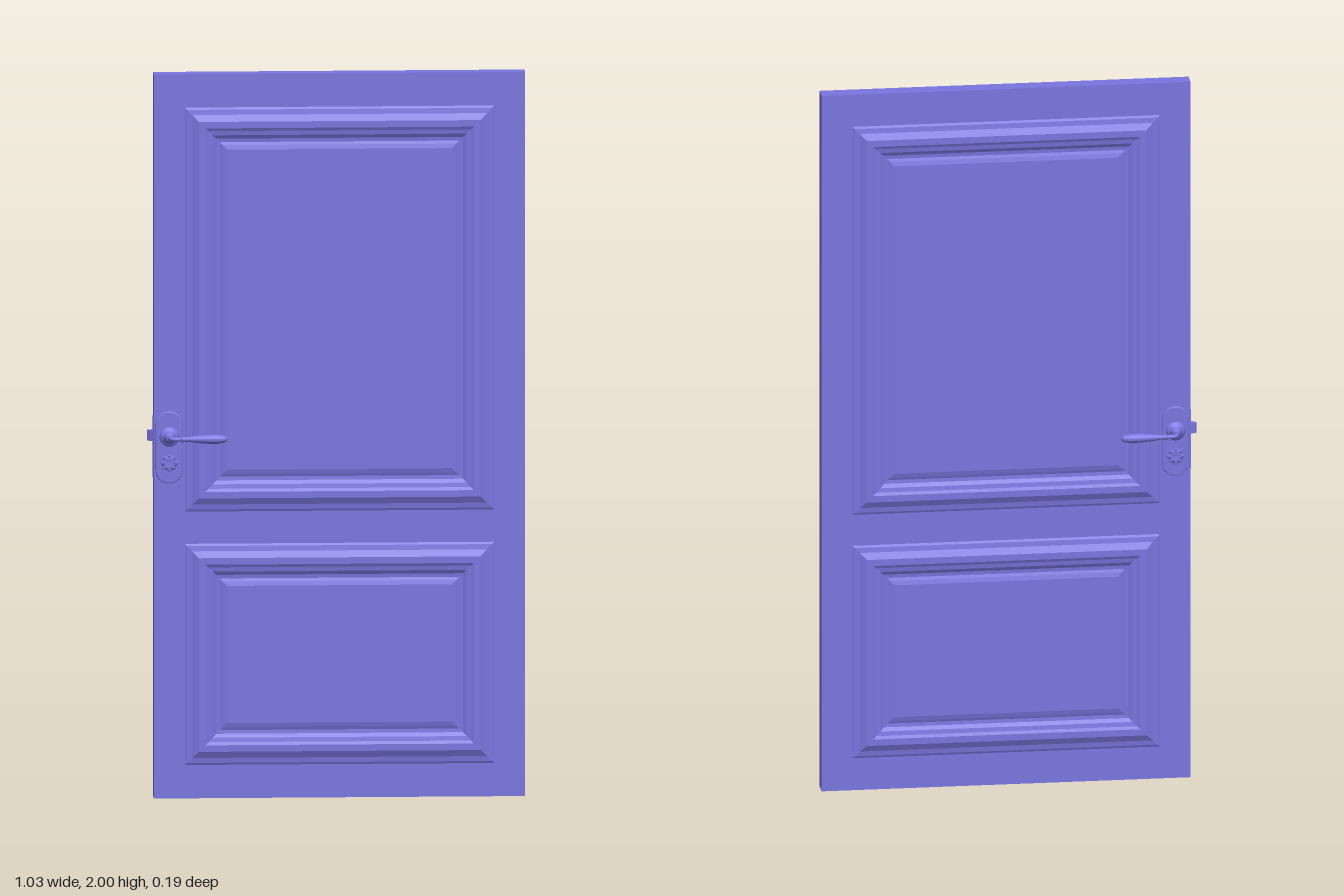
import * as THREE from 'three';

const material = new THREE.MeshStandardMaterial({ color: 0x7a76e0 });
const flat = new THREE.MeshStandardMaterial({ color: 0x7a76e0, flatShading: true });

function add(parent, name, geometry, x = 0, y = 0, z = 0, mat = material) {
  const mesh = new THREE.Mesh(geometry, mat);
  mesh.name = name;
  mesh.position.set(x, y, z);
  parent.add(mesh);
  return mesh;
}

const lathe = (points, segments = 24) =>
  new THREE.LatheGeometry(points.map(([r, h]) => new THREE.Vector2(r, h)), segments);

// Moulding section: [inset from the outer edge, height above the door's mid plane]
const MOULDING = [
  [0, 0.022], [0.008, 0.026], [0.022, 0.028], [0.04, 0.037], [0.058, 0.037],
  [0.066, 0.033], [0.078, 0.031], [0.088, 0.025], [0.098, 0.024], [0.106, 0.027], [0.118, 0.030],
];

// Mitred rectangular moulding closed by a flat field in the middle
function panelGeometry(w, h) {
  const corners = [[-1, -1], [1, -1], [1, 1], [-1, 1]];
  const positions = [], index = [];
  MOULDING.forEach(([d, z], ring) => {
    for (const [sx, sy] of corners) positions.push(sx * (w / 2 - d), sy * (h / 2 - d), z);
    if (ring === 0) return;
    for (let i = 0; i < 4; i++) {
      const j = (i + 1) % 4, o = (ring - 1) * 4;
      index.push(o + i, o + j, o + 4 + j, o + i, o + 4 + j, o + 4 + i);
    }
  });
  const c = (MOULDING.length - 1) * 4;
  index.push(c, c + 1, c + 2, c, c + 2, c + 3);
  const geometry = new THREE.BufferGeometry();
  geometry.setAttribute('position', new THREE.Float32BufferAttribute(positions, 3));
  geometry.setIndex(index);
  const result = geometry.toNonIndexed();
  result.computeVertexNormals();
  return result;
}

// Rounded plate that passes through the slab and shows on both faces
function platePart() {
  const r = 0.037, half = 0.063;
  const shape = new THREE.Shape();
  shape.absarc(0, half, r, 0, Math.PI);
  shape.absarc(0, -half, r, Math.PI, Math.PI * 2);
  shape.closePath();
  return new THREE.ExtrudeGeometry(shape, {
    depth: 0.052, bevelEnabled: true, bevelThickness: 0.003, bevelSize: 0.003,
    bevelOffset: -0.003, bevelSegments: 2, curveSegments: 16,
  }).translate(0, 0, -0.026);
}

// Lever on one side; side = 1 is the front, -1 the back
function lever(side) {
  const g = new THREE.Group();
  g.name = side > 0 ? 'frontHandle' : 'backHandle';
  g.position.set(-0.458, 1, 0);
  if (side < 0) g.rotation.x = Math.PI;

  const boss = lathe([[0.027, 0.02], [0.027, 0.031], [0.022, 0.035], [0.014, 0.038],
    [0.012, 0.049], [0.009, 0.053], [0, 0.053]]);
  add(g, 'handleRosette', boss.rotateX(Math.PI / 2));

  const path = new THREE.CurvePath();
  path.add(new THREE.LineCurve3(new THREE.Vector3(0, 0, 0.045), new THREE.Vector3(0, 0, 0.062)));
  path.add(new THREE.QuadraticBezierCurve3(new THREE.Vector3(0, 0, 0.062),
    new THREE.Vector3(0, 0, 0.08), new THREE.Vector3(0.018, 0, 0.08)));
  path.add(new THREE.LineCurve3(new THREE.Vector3(0.018, 0, 0.08), new THREE.Vector3(0.04, 0, 0.08)));
  add(g, 'handleNeck', new THREE.TubeGeometry(path, 24, 0.006, 12));

  const grip = lathe([[0, 0.028], [0.008, 0.029], [0.009, 0.033], [0.006, 0.038], [0.007, 0.05],
    [0.010, 0.075], [0.0125, 0.105], [0.0125, 0.13], [0.010, 0.147], [0.006, 0.155], [0, 0.157]]);
  add(g, 'handleGrip', grip.rotateZ(-Math.PI / 2).scale(1, -1, 1).rotateX(0), 0, 0, 0.08).geometry =
    lathe([[0, 0.028], [0.008, 0.029], [0.009, 0.033], [0.006, 0.038], [0.007, 0.05],
      [0.010, 0.075], [0.0125, 0.105], [0.0125, 0.13], [0.010, 0.147], [0.006, 0.155], [0, 0.157]])
      .rotateZ(-Math.PI / 2);

  // Keyhole boss with small lobes around its rim
  const y = -0.072 * side;
  add(g, 'keyholeBoss', lathe([[0.021, 0.02], [0.021, 0.031], [0.014, 0.035], [0.010, 0.033], [0, 0.033]])
    .rotateX(Math.PI / 2), 0, y, 0);
  for (let i = 0; i < 8; i++) {
    const a = (i * Math.PI) / 4;
    add(g, 'bossLobe', new THREE.SphereGeometry(0.005, 10, 8), 0.019 * Math.cos(a), y + 0.019 * Math.sin(a), 0.031);
  }
  return g;
}

export function createModel() {
  const door = new THREE.Group();
  door.name = 'door';

  add(door, 'doorSlab', new THREE.BoxGeometry(1.015, 2, 0.046), 0.0075, 1, 0, flat);

  // Tall upper and short lower panel on both faces
  for (const [name, bottom, top] of [['upperPanel', 0.79, 1.91], ['lowerPanel', 0.09, 0.705]]) {
    for (const side of [1, -1]) {
      const panel = add(door, name, panelGeometry(0.85, top - bottom), 0.0075, (top + bottom) / 2, 0, flat);
      if (side < 0) panel.rotation.y = Math.PI;
    }
  }

  // Lock plate, handles and latch
  add(door, 'lockPlate', platePart(), -0.458, 0.97, 0);
  door.add(lever(1), lever(-1));
  add(door, 'latchPlate', new THREE.BoxGeometry(0.004, 0.17, 0.024), -0.5, 0.97, 0, flat);

  const bolt = new THREE.Shape();
  bolt.moveTo(0.02, -0.011);
  bolt.lineTo(0.02, 0.011);
  bolt.lineTo(-0.012, 0.011);
  bolt.lineTo(-0.016, 0.006);
  bolt.lineTo(0, -0.011);
  bolt.closePath();
  const boltGeometry = new THREE.ExtrudeGeometry(bolt, { depth: 0.03, bevelEnabled: false })
    .translate(0, 0, -0.015).rotateX(-Math.PI / 2);
  add(door, 'latchBolt', boltGeometry, -0.502, 1, 0, flat);

  return door;
}
